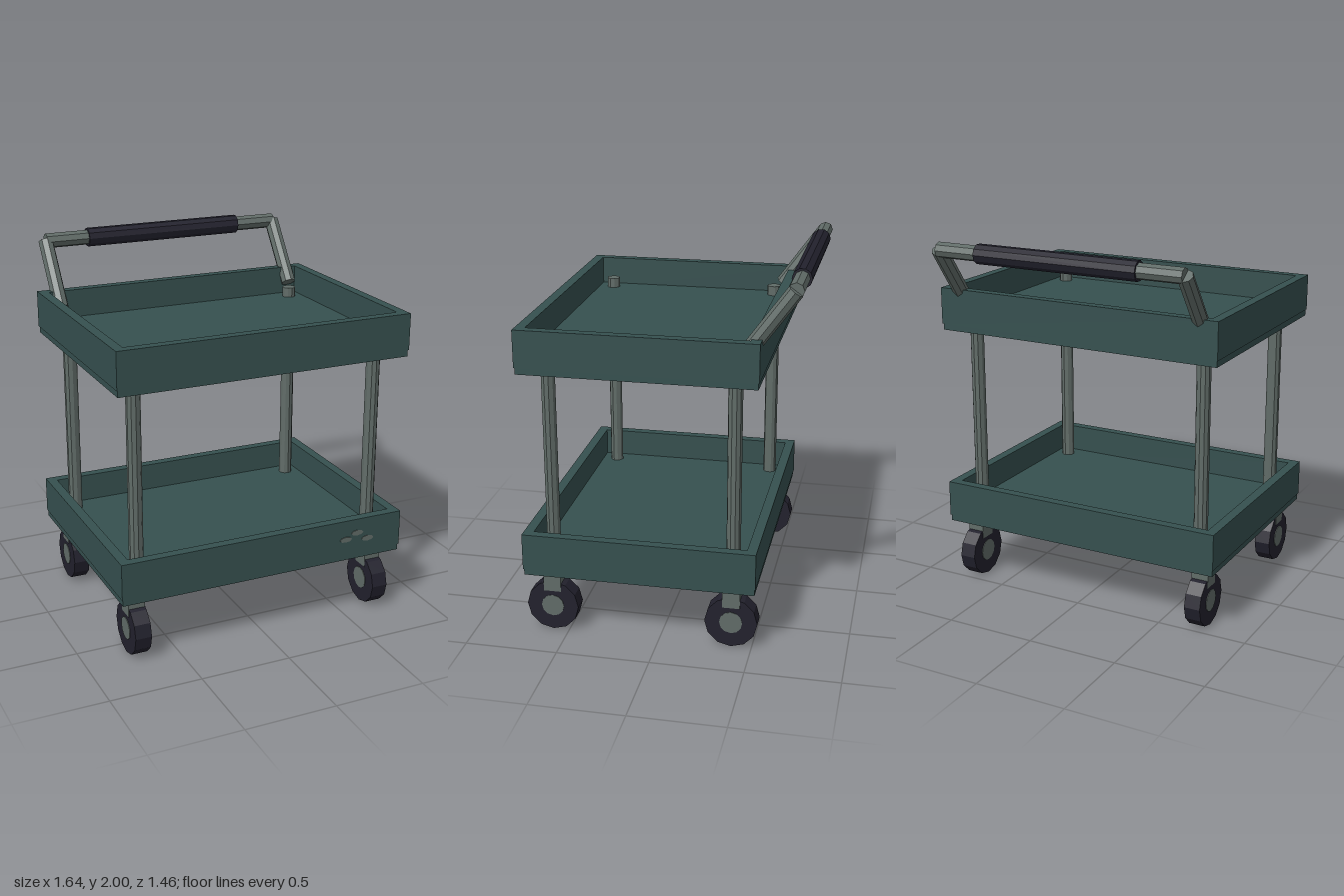
import * as THREE from 'three';

export function createModel() {
  const cart = new THREE.Group();
  cart.name = 'utilityCart';

  const mat = (name, color) => {
    const m = new THREE.MeshStandardMaterial({ color, flatShading: true });
    m.name = name;
    return m;
  };
  const green = mat('darkGreenPaint', 0x36504f);
  const metal = mat('greyMetal', 0x616c68);
  const rubber = mat('blackRubber', 0x22212d);

  const add = (parent, name, geometry, material, x = 0, y = 0, z = 0) => {
    const mesh = new THREE.Mesh(geometry, material);
    mesh.name = name;
    mesh.position.set(x, y, z);
    parent.add(mesh);
    return mesh;
  };

  // Straight tube between two points
  const rod = (parent, name, a, b, radius, sides, material) => {
    const from = new THREE.Vector3(...a), to = new THREE.Vector3(...b);
    const dir = to.clone().sub(from);
    const mesh = add(parent, name, new THREE.CylinderGeometry(radius, radius, dir.length(), sides), material);
    mesh.position.copy(from).add(to).multiplyScalar(0.5);
    mesh.quaternion.setFromUnitVectors(new THREE.Vector3(0, 1, 0), dir.normalize());
    return mesh;
  };

  // Trays: floor slab with a rim of four walls
  const W = 1.64, D = 1.25, T = 0.053, ZC = 0.1;
  const addTray = (name, y) => {
    const tray = new THREE.Group();
    tray.name = name;
    tray.position.set(0, y, ZC);
    add(tray, 'trayFloor', new THREE.BoxGeometry(W - 0.01, 0.08, D - 0.01), green, 0, 0.04, 0);
    for (const s of [-1, 1]) {
      add(tray, 'sideWall', new THREE.BoxGeometry(T, 0.2, D), green, s * (W - T) / 2, 0.135, 0);
      add(tray, 'endWall', new THREE.BoxGeometry(W - 2 * T, 0.2, T), green, 0, 0.135, s * (D - T) / 2);
    }
    cart.add(tray);
  };
  addTray('lowerTray', 0.345);
  addTray('upperTray', 1.47);

  // Corner posts and casters
  for (const x of [-1, 1]) {
    for (const z of [0.587, -0.388]) {
      rod(cart, 'post', [x * 0.687, 0.4, z], [x * 0.687, 1.605, z], 0.038, 10, metal);

      const caster = new THREE.Group();
      caster.name = 'caster';
      caster.position.set(x * 0.708, 0.142, z);
      add(caster, 'fork', new THREE.BoxGeometry(0.094, 0.125, 0.095), metal, 0, 0.148, 0);
      rod(caster, 'wheel', [-0.045, 0, 0], [0.045, 0, 0], 0.142, 12, rubber);
      rod(caster, 'hub', [-0.048, 0, 0], [0.048, 0, 0], 0.062, 12, metal);
      cart.add(caster);
    }
  }

  // Push handle: two slanted arms, crossbar and grip
  const handle = new THREE.Group();
  handle.name = 'handle';
  for (const s of [-1, 1]) {
    rod(handle, 'handleArm', [s * 0.71, 1.62, -0.44], [s * 0.71, 1.948, -0.678], 0.042, 8, metal);
  }
  rod(handle, 'crossbar', [-0.71, 1.948, -0.678], [0.71, 1.948, -0.678], 0.042, 8, metal);
  rod(handle, 'grip', [-0.465, 1.948, -0.678], [0.465, 1.948, -0.678], 0.053, 10, rubber);
  cart.add(handle);

  // Worn paint spots on the lower tray front
  for (const [x, y] of [[0.48, 0.47], [0.55, 0.5], [0.615, 0.457]]) {
    const spot = add(cart, 'wornSpot', new THREE.CylinderGeometry(0.037, 0.037, 0.006, 8), metal, x, y, 0.726);
    spot.rotation.x = Math.PI / 2;
    spot.scale.z = 0.43;
  }

  return cart;
}
